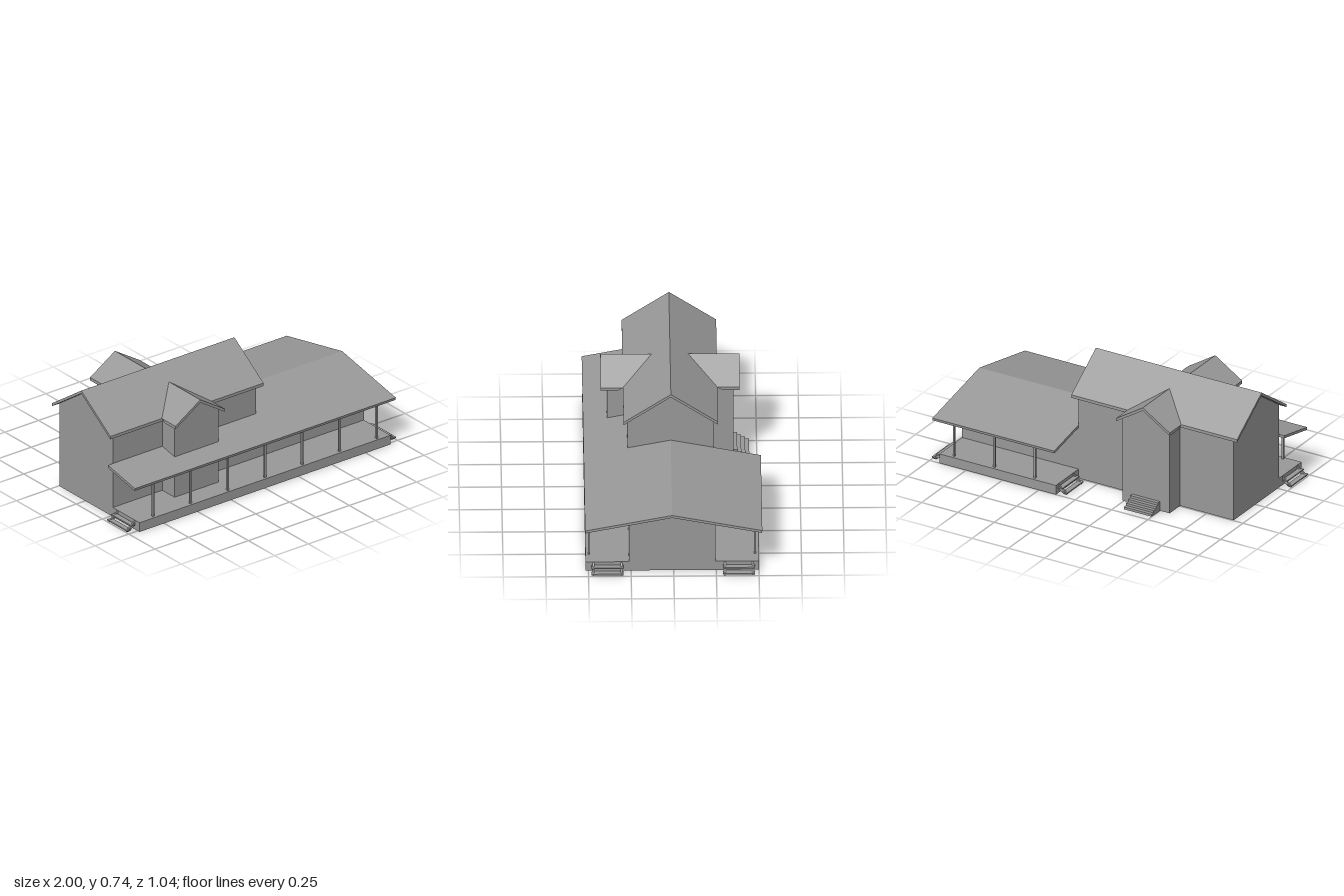
import * as THREE from 'three';

const mat = new THREE.MeshStandardMaterial({ color: 0x999999, flatShading: true, side: THREE.DoubleSide });
const ZC = 0.009;                       // ridge line
const HALF = 0.254;                     // half depth of the house walls
const ZF = ZC + HALF, ZB = ZC - HALF;
const WEST = -0.933, MID = 0.133, EAST = 0.933;
const BAY_X = -0.402, BAY_HALF = 0.163, BAY_DEPTH = 0.371;
const DECK = 0.06;
// peak height, slope and vertical thickness; steep roofs have plumb-cut eaves
const MAIN = { peak: 0.737, slope: 0.69, thick: 0.019, plumb: true };
const GABLE = { peak: 0.663, slope: 0.635, thick: 0.019, plumb: true };
const LOW = { peak: 0.4, slope: 0.203, thick: 0.017, plumb: false };

const topAt = (r, d) => r.peak - r.slope * d;
const underAt = (r, d) => topAt(r, d) - r.thick;

function add(parent, name, geo, x = 0, y = 0, z = 0) {
  const m = new THREE.Mesh(geo, mat);
  m.name = name;
  m.position.set(x, y, z);
  parent.add(m);
}

const box = (parent, name, w, h, d, x, y, z) => add(parent, name, new THREE.BoxGeometry(w, h, d), x, y, z);

function extrude(pts, depth) {
  const shape = new THREE.Shape(pts.map(([x, y]) => new THREE.Vector2(x, y)));
  return new THREE.ExtrudeGeometry(shape, { depth, bevelEnabled: false });
}

// Thin panel from a convex outline of 3D corners
function panel(parent, name, pts) {
  const g = new THREE.BufferGeometry();
  const v = [];
  for (let i = 1; i < pts.length - 1; i++) v.push(...pts[0], ...pts[i], ...pts[i + 1]);
  g.setAttribute('position', new THREE.Float32BufferAttribute(v, 3));
  g.computeVertexNormals();
  add(parent, name, g);
}

// Cross-section of a pitched roof, from a to b along the span, 0 being the ridge
function roofProfile(r, a, b) {
  const k = 1 + r.slope * r.slope;
  const lower = d => r.plumb
    ? [d, underAt(r, Math.abs(d))]
    : [d - Math.sign(d) * r.thick * r.slope / k, topAt(r, Math.abs(d)) - r.thick / k];
  if (a > 0) return [[a, topAt(r, a)], [a, underAt(r, a)], lower(b), [b, topAt(r, b)]];
  return [[0, r.peak], [a, topAt(r, -a)], lower(a), [0, underAt(r, 0)], lower(b), [b, topAt(r, b)]];
}

// Roof whose ridge runs along x
function longRoof(parent, name, r, a, b, x0, x1) {
  const g = extrude(roofProfile(r, a, b), x1 - x0);
  g.rotateY(-Math.PI / 2);
  add(parent, name, g, x1, 0, ZC);
}

// Bay with its own small gable, running into the main roof
function makeBay(name, turn) {
  const bay = new THREE.Group();
  bay.name = name;
  bay.position.set(BAY_X, 0, ZC);
  bay.rotation.y = turn;
  const d = BAY_DEPTH, w = BAY_HALF, h = underAt(GABLE, w);
  panel(bay, 'bayFrontWall', [[-w, 0, d], [w, 0, d], [w, h, d], [0, underAt(GABLE, 0), d], [-w, h, d]]);
  for (const s of [-w, w])
    panel(bay, 'baySideWall', [[s, 0, HALF], [s, 0, d], [s, h, d], [s, h, HALF]]);
  const g = extrude(roofProfile(GABLE, -0.185, 0.185), 1);
  const p = g.attributes.position;
  // inner end follows the slope of the main roof to form the valleys
  for (let i = 0; i < p.count; i++)
    p.setZ(i, p.getZ(i) > 0.5 ? 0.407 : (MAIN.peak - p.getY(i)) / MAIN.slope);
  g.computeVertexNormals();
  add(bay, 'bayRoof', g);
  return bay;
}

// Two-tread stair descending away from a deck end
function makePorchSteps(x, z, turn) {
  const s = new THREE.Group();
  s.name = 'porchSteps';
  s.position.set(x, 0, z);
  s.rotation.y = turn;
  const stringer = [[0, 0.03], [0.043, 0], [0.061, 0], [0.061, 0.01], [0, 0.055]];
  for (const dz of [-0.082, 0.082]) add(s, 'stringer', extrude(stringer, 0.01), 0, 0, dz - 0.005);
  box(s, 'tread', 0.032, 0.008, 0.188, 0.021, 0.036, 0);
  box(s, 'tread', 0.032, 0.008, 0.188, 0.051, 0.012, 0);
  return s;
}

export function createModel() {
  const house = new THREE.Group();
  house.name = 'farmhouse';

  // Long walls, left open behind each bay
  const hTall = underAt(MAIN, HALF), hLow = underAt(LOW, HALF);
  const bayL = BAY_X - BAY_HALF, bayR = BAY_X + BAY_HALF;
  const longWall = (name, x0, x1, z, h) =>
    panel(house, name, [[x0, 0, z], [x1, 0, z], [x1, h, z], [x0, h, z]]);
  for (const z of [ZF, ZB]) {
    longWall('tallWingWall', WEST, bayL, z, hTall);
    longWall('tallWingWall', bayR, MID, z, hTall);
    longWall('lowWingWall', MID, EAST, z, hLow);
    // upper gable end, one half each side of the ridge
    panel(house, 'upperEndWall', [[MID, hLow, z], [MID, underAt(LOW, 0), ZC],
      [MID, underAt(MAIN, 0), ZC], [MID, hTall, z]]);
  }

  // Gable end walls
  const endWall = (name, x, r) => panel(house, name, [
    [x, 0, ZB], [x, 0, ZF], [x, underAt(r, HALF), ZF], [x, underAt(r, 0), ZC], [x, underAt(r, HALF), ZB]]);
  endWall('tallWingEndWall', WEST, MAIN);
  endWall('lowWingEndWall', EAST, LOW);

  // Roofs
  longRoof(house, 'mainRoof', MAIN, -0.277, 0.277, -0.97, 0.169);
  longRoof(house, 'lowWingRoof', LOW, -0.528, 0.511, MID, 0.97);
  longRoof(house, 'frontPorchRoof', LOW, HALF, 0.511, -0.97, MID);

  // Bays
  house.add(makeBay('frontBay', 0), makeBay('backBay', Math.PI));

  // Porch decks, the front one notched around the bay
  const deck = (name, pts) => {
    const g = extrude(pts.map(([x, z]) => [x, -z]), DECK);
    g.rotateX(-Math.PI / 2);
    add(house, name, g);
  };
  const bz = ZC + BAY_DEPTH;
  deck('frontDeck', [[WEST, ZF], [WEST, 0.517], [EAST, 0.517], [EAST, ZF],
    [bayR, ZF], [bayR, bz], [bayL, bz], [bayL, ZF]]);
  deck('backDeck', [[MID, ZB], [EAST, ZB], [EAST, -0.5], [MID, -0.5]]);

  // Floor of the front bay, level with the deck
  panel(house, 'bayFloor', [[bayL, DECK, ZF], [bayL, DECK, bz], [bayR, DECK, bz], [bayR, DECK, ZF]]);

  // Porch posts
  const post = (x, z) => {
    const top = underAt(LOW, Math.abs(z - ZC)) + 0.004;
    box(house, 'porchPost', 0.013, top - DECK, 0.011, x, (top + DECK) / 2, z);
  };
  for (let i = 0; i < 7; i++) {
    const x = -0.817 + i * 0.277;
    post(x, 0.497);
    if (x > MID) post(x, -0.478);
  }

  // Porch steps at the deck ends
  house.add(
    makePorchSteps(EAST, 0.388, 0), makePorchSteps(WEST, 0.388, Math.PI),
    makePorchSteps(EAST, -0.382, 0), makePorchSteps(MID + 0.005, -0.382, Math.PI));

  // Solid steps at the back bay
  const run = 0.0235, rise = DECK / 4;
  const stair = [[0, 0]];
  for (let i = 0; i < 4; i++) stair.push([(i - 4) * run, i * rise], [(i - 4) * run, (i + 1) * rise]);
  stair.push([0, DECK]);
  const steps = extrude(stair, 0.19);
  steps.rotateY(-Math.PI / 2);
  add(house, 'backSteps', steps, -0.308, 0, ZC - BAY_DEPTH);

  return house;
}
